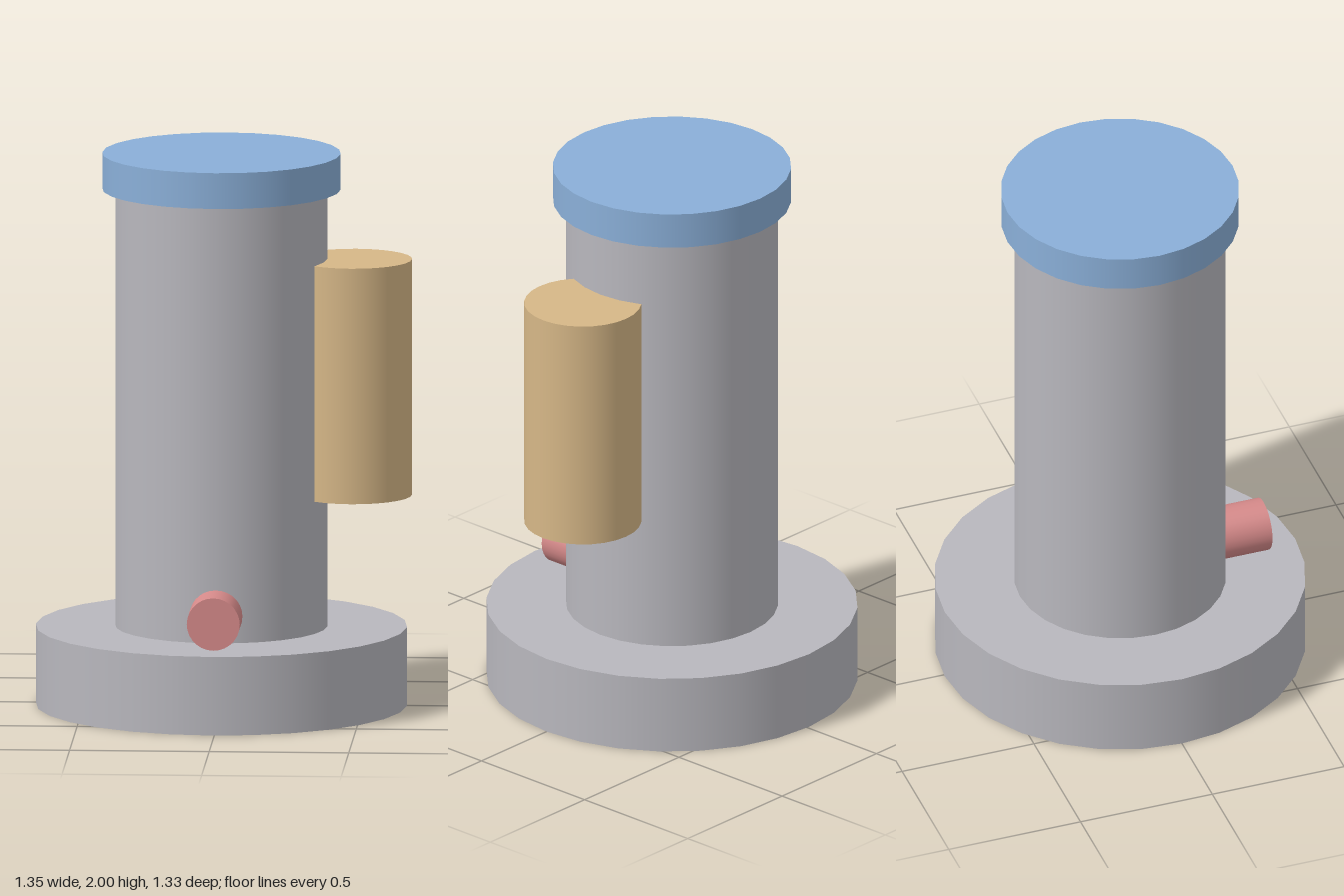
import * as THREE from 'three';

const SIDES = 28;
const AXIS_X = -0.01; // the column axis sits slightly off centre

function material(name, color) {
  const m = new THREE.MeshStandardMaterial({ color });
  m.name = name;
  return m;
}

// Upright cylinder between two heights
function upright(name, radius, bottom, top, x, mat) {
  const mesh = new THREE.Mesh(new THREE.CylinderGeometry(radius, radius, top - bottom, SIDES), mat);
  mesh.name = name;
  mesh.position.set(x, (bottom + top) / 2, 0);
  return mesh;
}

export function createModel() {
  const grey = material('grey', 0xb8b7bd);
  const blue = material('blue', 0x8aafd8);
  const tan = material('tan', 0xd6b787);
  const red = material('red', 0xd68a8a);

  const model = new THREE.Group();
  model.name = 'cylinderAssembly';

  // Base disc, column and cap share one axis
  model.add(upright('base', 0.665, 0, 0.285, AXIS_X, grey));
  model.add(upright('column', 0.38, 0.285, 1.87, AXIS_X, grey));
  model.add(upright('cap', 0.427, 1.87, 2, AXIS_X, blue));

  // Drum partly sunk into the left side of the column
  model.add(upright('sideDrum', 0.21, 0.765, 1.62, 0.463, tan));

  // Short outlet pointing forward, rooted inside the column
  const outlet = new THREE.Mesh(new THREE.CylinderGeometry(0.095, 0.095, 0.215, SIDES), red);
  outlet.name = 'outlet';
  outlet.rotation.x = Math.PI / 2;
  outlet.position.set(AXIS_X, 0.382, 0.4375);
  model.add(outlet);

  return model;
}
